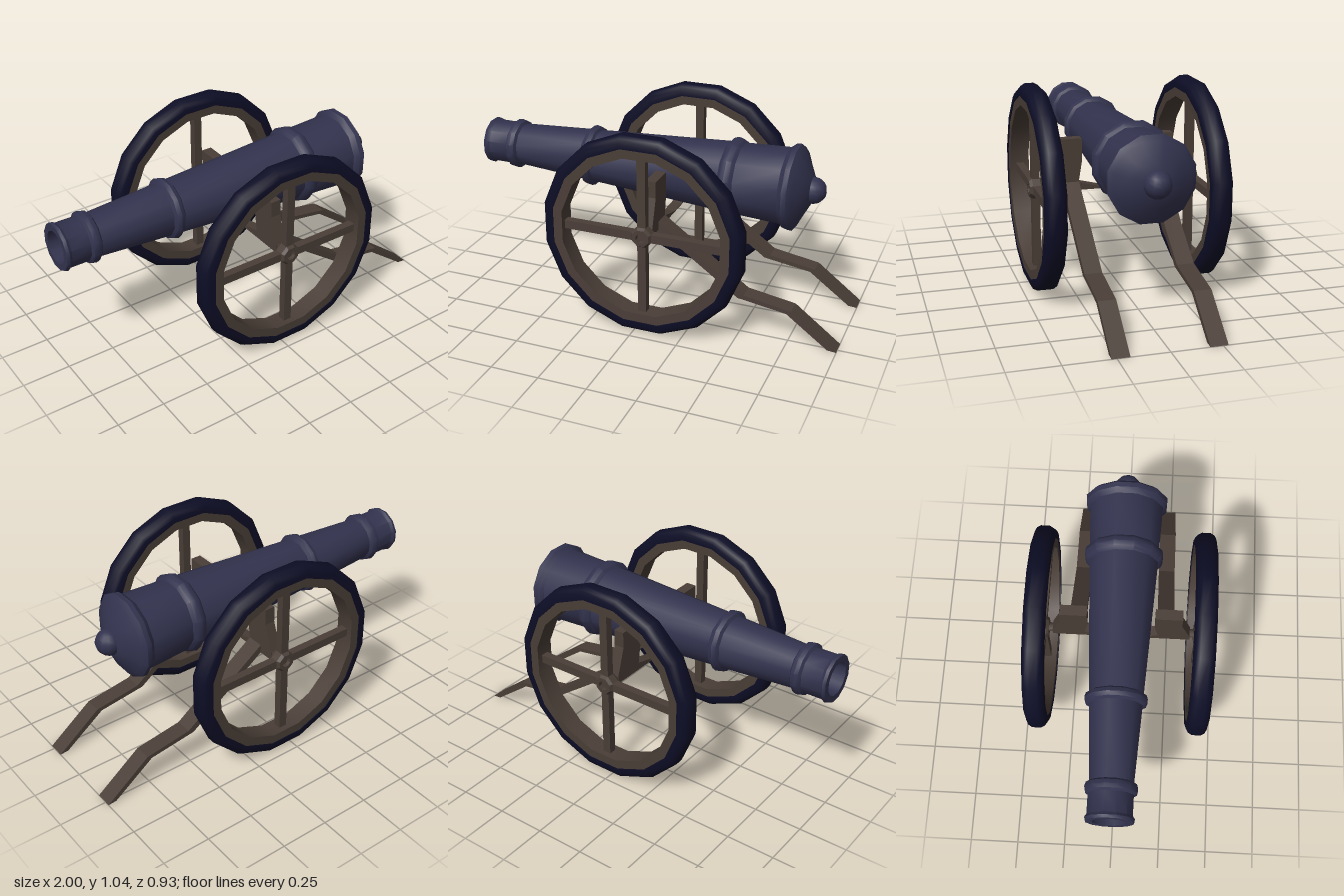
import * as THREE from 'three';
import { toCreasedNormals } from 'three/addons/utils/BufferGeometryUtils.js';

const mat = (name, color) => {
  const m = new THREE.MeshStandardMaterial({ color });
  m.name = name;
  return m;
};

export function createModel() {
  const iron = mat('blue iron', 0x32324e);
  const wood = mat('brown wood', 0x4a3e37);
  const tyreMat = mat('dark tyre', 0x0d0d26);
  const root = new THREE.Group();
  root.name = 'fieldCannon';

  const add = (parent, name, geometry, material) => {
    const mesh = new THREE.Mesh(geometry, material);
    mesh.name = name;
    parent.add(mesh);
    return mesh;
  };
  // Turned part with a flat side facing up; points are [radius, axial position]
  const turned = (points, sides, crease = 0.6) => toCreasedNormals(
    new THREE.LatheGeometry(points.map(p => new THREE.Vector2(...p)), sides, Math.PI / sides), crease);
  // Flat outline extruded to a depth centred on zero
  const slab = (points, depth) => {
    const shape = new THREE.Shape(points.map(p => new THREE.Vector2(...p)));
    return new THREE.ExtrudeGeometry(shape, { depth, bevelEnabled: false }).translate(0, 0, -depth / 2);
  };

  // Barrel: bore, muzzle lip, tapered tube with reinforcing rings, breech
  const barrel = new THREE.Group();
  barrel.name = 'barrel';
  barrel.position.set(0, 0.721, -0.003);
  barrel.rotation.z = -0.0085;
  root.add(barrel);
  const tube = add(barrel, 'barrelTube', turned([
    [0, -0.75], [0.085, -0.75], [0.085, -1], [0.118, -1], [0.123, -0.985], [0.113, -0.97],
    [0.113, -0.87], [0.128, -0.86], [0.132, -0.84], [0.126, -0.82], [0.111, -0.81],
    [0.135, -0.43], [0.152, -0.42], [0.16, -0.4], [0.153, -0.38], [0.138, -0.37],
    [0.181, 0.33], [0.198, 0.345], [0.207, 0.37], [0.2, 0.395], [0.184, 0.41],
    [0.195, 0.64], [0.216, 0.665], [0.218, 0.69], [0.19, 0.712], [0.13, 0.74],
    [0.075, 0.768], [0, 0.772],
  ], 12), iron);
  tube.rotation.z = -Math.PI / 2;
  const knob = add(barrel, 'breechKnob', new THREE.SphereGeometry(0.067, 12, 10), iron);
  knob.position.x = 0.773;

  // Cradle: axle beam with two posts beside the barrel
  const half = [[0.05, 0.505], [0.19, 0.54], [0.172, 0.65], [0.172, 0.77], [0.31, 0.77],
    [0.31, 0.685], [0.356, 0.54], [0.356, 0.5]];
  const mirrored = half.map(([x, y]) => [-x, y]).reverse();
  const cradle = add(root, 'axleCradle', slab([...half, ...mirrored], 0.055), wood);
  cradle.rotation.y = Math.PI / 2;
  cradle.position.x = 0.042;

  const trailOutline = [[0.05, 0.515], [0.49, 0.2], [0.74, 0.163], [0.955, 0.004], [1, 0],
    [0.765, 0.18], [0.52, 0.22], [0.07, 0.545]];

  for (const side of [1, -1]) {
    // Bent trail legs
    const trail = add(root, side > 0 ? 'leftTrail' : 'rightTrail', slab(trailOutline, 0.088), wood);
    trail.position.z = side * 0.232;

    // Wheel: tyre, wooden rim, hub and four spokes
    const wheel = new THREE.Group();
    wheel.name = side > 0 ? 'leftWheel' : 'rightWheel';
    wheel.position.set(0.042, 0.523, side * 0.41);
    root.add(wheel);
    const ring = (name, points, sides, material, crease) => {
      const mesh = add(wheel, name, turned(points, sides, crease), material);
      mesh.rotation.x = Math.PI / 2;
    };
    ring('tyre', [[0.468, -0.054], [0.495, -0.054], [0.516, -0.043], [0.528, -0.022],
      [0.528, 0.022], [0.516, 0.043], [0.495, 0.054], [0.468, 0.054], [0.468, -0.054]], 16, tyreMat, 0.75);
    ring('rim', [[0.42, -0.05], [0.47, -0.05], [0.47, 0.05], [0.42, 0.05], [0.42, -0.05]], 16, wood);
    ring('hub', [[0.025, -0.035], [0.045, -0.035], [0.056, -0.02], [0.056, 0.02],
      [0.045, 0.035], [0.025, 0.035], [0.025, -0.035]], 8, wood, 0.3);
    for (let i = 0; i < 4; i++) {
      const spoke = add(wheel, 'spoke', new THREE.BoxGeometry(0.39, 0.044, 0.04).translate(0.235, 0, 0), wood);
      spoke.rotation.z = i * Math.PI / 2;
    }
    // Axle stub reaching into the hub
    const stub = add(root, 'axleStub', new THREE.CylinderGeometry(0.024, 0.024, 0.08, 8), wood);
    stub.rotation.x = Math.PI / 2;
    stub.position.set(0.042, 0.523, side * 0.385);
  }
  return root;
}
